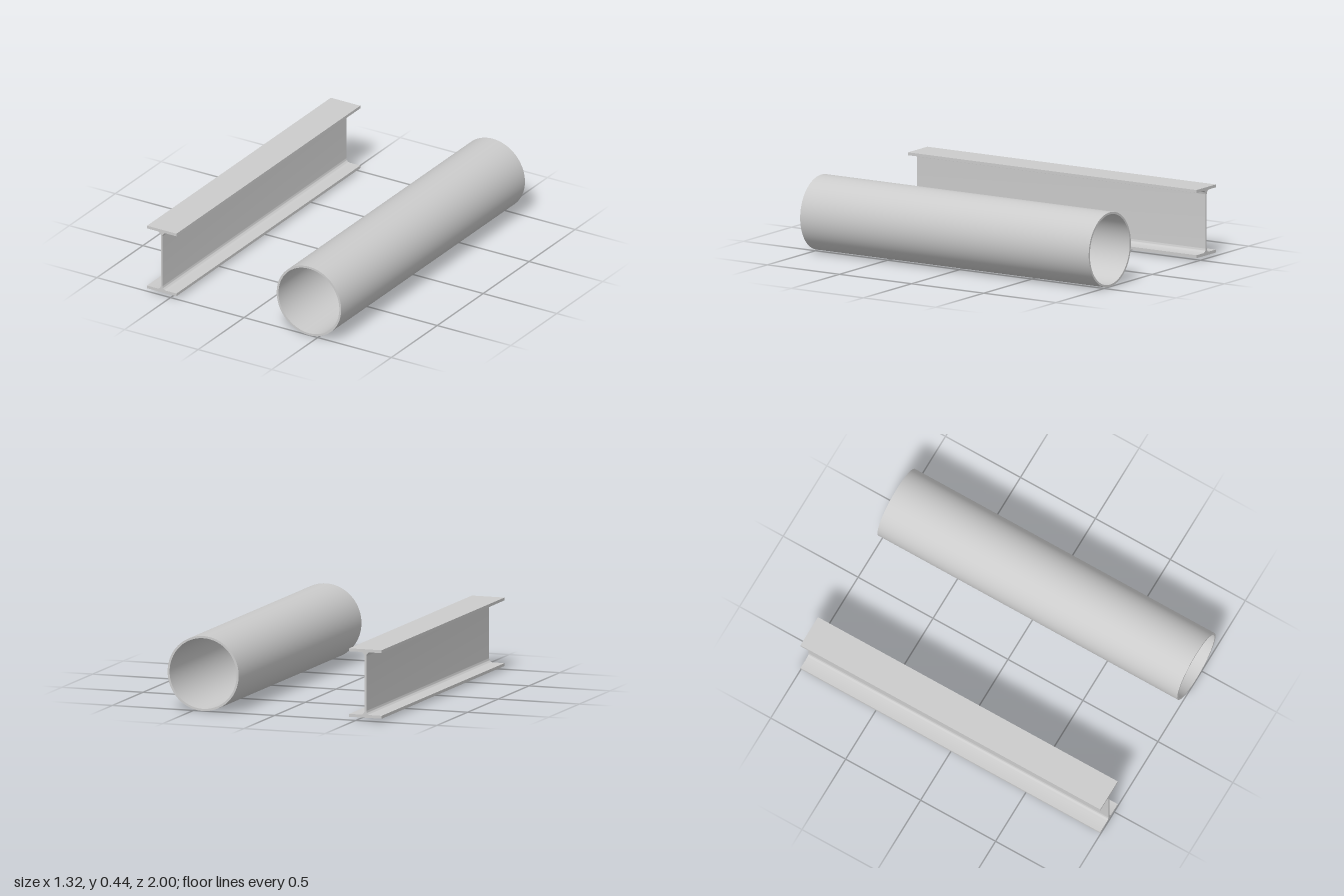
import * as THREE from 'three';
import { toCreasedNormals } from 'three/addons/utils/BufferGeometryUtils.js';

const LENGTH = 2;
const AXIS_Y = 0.2191; // shared centre height of both profiles

// Extrude a section along z, centred, with smooth curves and sharp edges
function extrudeProfile(name, shape, x, curveSegments) {
  const geometry = new THREE.ExtrudeGeometry(shape, { depth: LENGTH, bevelEnabled: false, curveSegments });
  geometry.translate(0, 0, -LENGTH / 2);
  const mesh = new THREE.Mesh(
    toCreasedNormals(geometry, 0.5),
    new THREE.MeshStandardMaterial({ color: 0xcccccc })
  );
  mesh.name = name;
  mesh.position.set(x, AXIS_Y, 0);
  return mesh;
}

// I-section with rounded fillets between web and flanges
function beamSection(width, height, web, flange, radius) {
  const w = width / 2, h = height / 2, t = web / 2;
  const f = h - flange; // inner face of a flange
  const cx = t + radius, cy = f - radius; // fillet centre
  const s = new THREE.Shape();
  s.moveTo(-w, -h);
  s.lineTo(w, -h);
  s.lineTo(w, -f);
  s.lineTo(cx, -f);
  s.absarc(cx, -cy, radius, -Math.PI / 2, -Math.PI, true);
  s.lineTo(t, cy);
  s.absarc(cx, cy, radius, Math.PI, Math.PI / 2, true);
  s.lineTo(w, f);
  s.lineTo(w, h);
  s.lineTo(-w, h);
  s.lineTo(-w, f);
  s.lineTo(-cx, f);
  s.absarc(-cx, cy, radius, Math.PI / 2, 0, true);
  s.lineTo(-t, -cy);
  s.absarc(-cx, -cy, radius, 0, -Math.PI / 2, true);
  s.lineTo(-w, -f);
  s.closePath();
  return s;
}

// Ring section of the round pipe
function pipeSection(radius, wall) {
  const s = new THREE.Shape();
  s.absarc(0, 0, radius, 0, Math.PI * 2, false);
  const bore = new THREE.Path();
  bore.absarc(0, 0, radius - wall, 0, Math.PI * 2, true);
  s.holes.push(bore);
  return s;
}

export function createModel() {
  const group = new THREE.Group();
  group.name = 'steelProfiles';
  group.add(
    extrudeProfile('iBeam', beamSection(0.2, 0.4, 0.0112, 0.017, 0.024), -0.5596, 10),
    extrudeProfile('roundPipe', pipeSection(AXIS_Y, 0.0126), 0.4404, 48)
  );
  return group;
}
